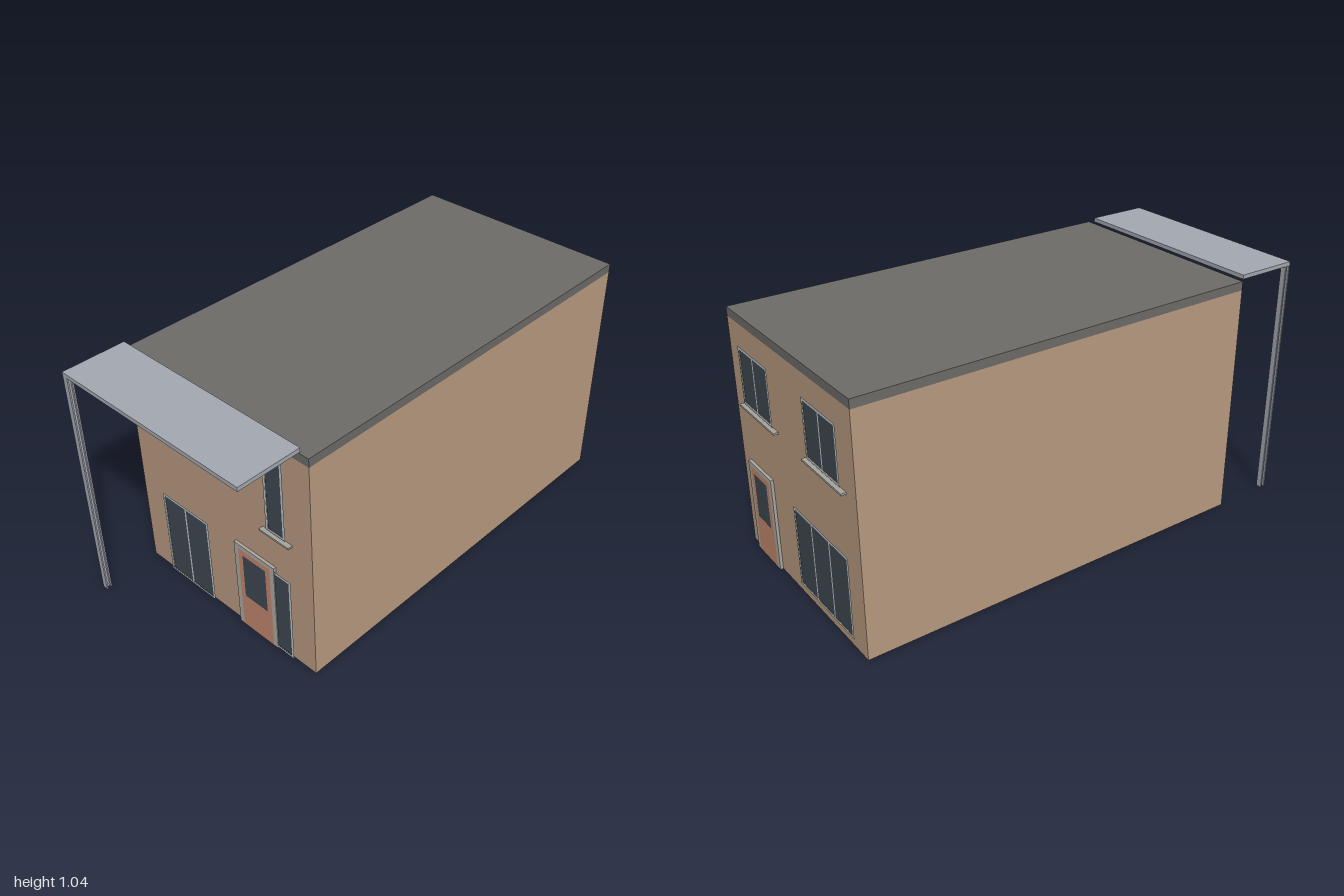
import * as THREE from 'three';

const mat = (color) => new THREE.MeshStandardMaterial({ color, side: THREE.DoubleSide });
const BRICK = mat(0xb89a80), ROOF = mat(0x6d6b68), FRAME = mat(0xbcc0c3), GLASS = mat(0x3d4750);
const DOOR = mat(0xc1866d), SURROUND = mat(0xaba8a1), SILL = mat(0xa5a39e), STEEL = mat(0xa3a8b0);

// Box given by its lower and upper limits on each axis
function box(name, material, x0, x1, y0, y1, z0, z1) {
  const mesh = new THREE.Mesh(new THREE.BoxGeometry(x1 - x0, y1 - y0, z1 - z0), material);
  mesh.position.set((x0 + x1) / 2, (y0 + y1) / 2, (z0 + z1) / 2);
  mesh.name = name;
  return mesh;
}

// Flat upright panel facing +z
function panel(name, material, x0, x1, y0, y1, z) {
  const mesh = new THREE.Mesh(new THREE.PlaneGeometry(x1 - x0, y1 - y0), material);
  mesh.position.set((x0 + x1) / 2, (y0 + y1) / 2, z);
  mesh.name = name;
  return mesh;
}

// Rectangle outline for shapes and holes
function rect(target, x0, x1, y0, y1) {
  return target.moveTo(x0, y0).lineTo(x1, y0).lineTo(x1, y1).lineTo(x0, y1).closePath();
}

// Flat framed window just in front of the wall, split into equal panes
function makeWindow(name, x0, x1, y0, y1, panes) {
  const group = new THREE.Group();
  group.name = name;
  const border = 0.011, bar = 0.008, offset = 0.01;
  const shape = rect(new THREE.Shape(), x0, x1, y0, y1);
  const paneWidth = (x1 - x0 - 2 * border - (panes - 1) * bar) / panes;
  for (let i = 0; i < panes; i++) {
    const left = x0 + border + i * (paneWidth + bar);
    shape.holes.push(rect(new THREE.Path(), left, left + paneWidth, y0 + border, y1 - border));
  }
  const frame = new THREE.Mesh(new THREE.ShapeGeometry(shape), FRAME);
  frame.name = 'windowFrame';
  frame.position.z = offset;
  group.add(frame, panel('windowGlass', GLASS, x0 + border, x1 - border, y0 + border, y1 - border, offset - 0.001));
  return group;
}

// Door block with the leaf and its glass lying flush on the face
function makeDoor(name, x0, x1, top) {
  const group = new THREE.Group();
  group.name = name;
  const jamb = 0.022, depth = 0.012;
  group.add(
    box('doorSurround', SURROUND, x0, x1, 0, top, 0, depth),
    panel('doorLeaf', DOOR, x0 + jamb, x1 - jamb, 0, top - 0.018, depth + 0.0006),
    panel('doorGlass', GLASS, x0 + 0.045, x1 - 0.045, 0.167, top - 0.042, depth + 0.0012),
  );
  return group;
}

// Ledge below an upper window
const makeSill = (x0, x1, y) => box('windowSill', SILL, x0, x1, y - 0.004, y + 0.004, 0, 0.02);

export function createModel() {
  const house = new THREE.Group();
  house.name = 'house';
  const front = 0.735, back = -0.98, half = 0.468, eaves = 0.976;

  // Thin walls, open underneath
  const outline = [[-half, front], [half, front], [half, back], [-half, back]];
  outline.forEach(([x, z], i) => {
    const [nx, nz] = outline[(i + 1) % 4];
    const wall = new THREE.Mesh(new THREE.PlaneGeometry(Math.hypot(nx - x, nz - z), eaves), BRICK);
    wall.name = ['frontWall', 'leftWall', 'backWall', 'rightWall'][i];
    wall.position.set((x + nx) / 2, eaves / 2, (z + nz) / 2);
    wall.rotation.y = i * Math.PI / 2;
    house.add(wall);
  });

  // Flat roof
  house.add(box('roof', ROOF, -half, half, eaves, 1.012, back, front));

  // Front openings
  const facade = new THREE.Group();
  facade.name = 'frontFacade';
  facade.position.z = front;
  facade.add(
    makeWindow('upperWindow', -0.335, -0.074, 0.73, 0.974, 2),
    makeSill(-0.36, -0.048, 0.715),
    makeWindow('tallWindow', 0.251, 0.347, 0.588, 0.982, 1),
    makeSill(0.225, 0.372, 0.575),
    makeWindow('lowerWindow', -0.343, -0.08, 0.005, 0.406, 2),
    makeDoor('frontDoor', 0.069, 0.279, 0.415),
    makeWindow('sideLight', 0.268, 0.363, 0.004, 0.399, 1),
  );
  house.add(facade);

  // Back openings, turned round so they face -z (their x is mirrored)
  const rear = new THREE.Group();
  rear.name = 'backFacade';
  rear.position.z = back;
  rear.rotation.y = Math.PI;
  rear.add(
    makeWindow('backWindowA', -0.376, -0.133, 0.655, 0.89, 2),
    makeSill(-0.398, -0.107, 0.642),
    makeWindow('backWindowB', 0.135, 0.374, 0.655, 0.89, 2),
    makeSill(0.114, 0.4, 0.642),
    makeDoor('backDoor', -0.404, -0.205, 0.4),
    makeWindow('backGlazing', -0.02, 0.391, 0.045, 0.385, 3),
  );
  house.add(rear);

  // Canopy slab carried by one H-section steel post
  const canopy = new THREE.Group();
  canopy.name = 'canopy';
  const px0 = -half, px1 = -0.444, postTop = 1.021;
  canopy.add(
    box('canopySlab', STEEL, px0, 0.431, postTop, 1.038, front, 1),
    box('postFlange', STEEL, px0, px1, 0, postTop, 0.994, 1),
    box('postFlange', STEEL, px0, px1, 0, postTop, 0.976, 0.982),
    box('postWeb', STEEL, -0.459, -0.453, 0, postTop, 0.982, 0.994),
  );
  house.add(canopy);
  return house;
}
